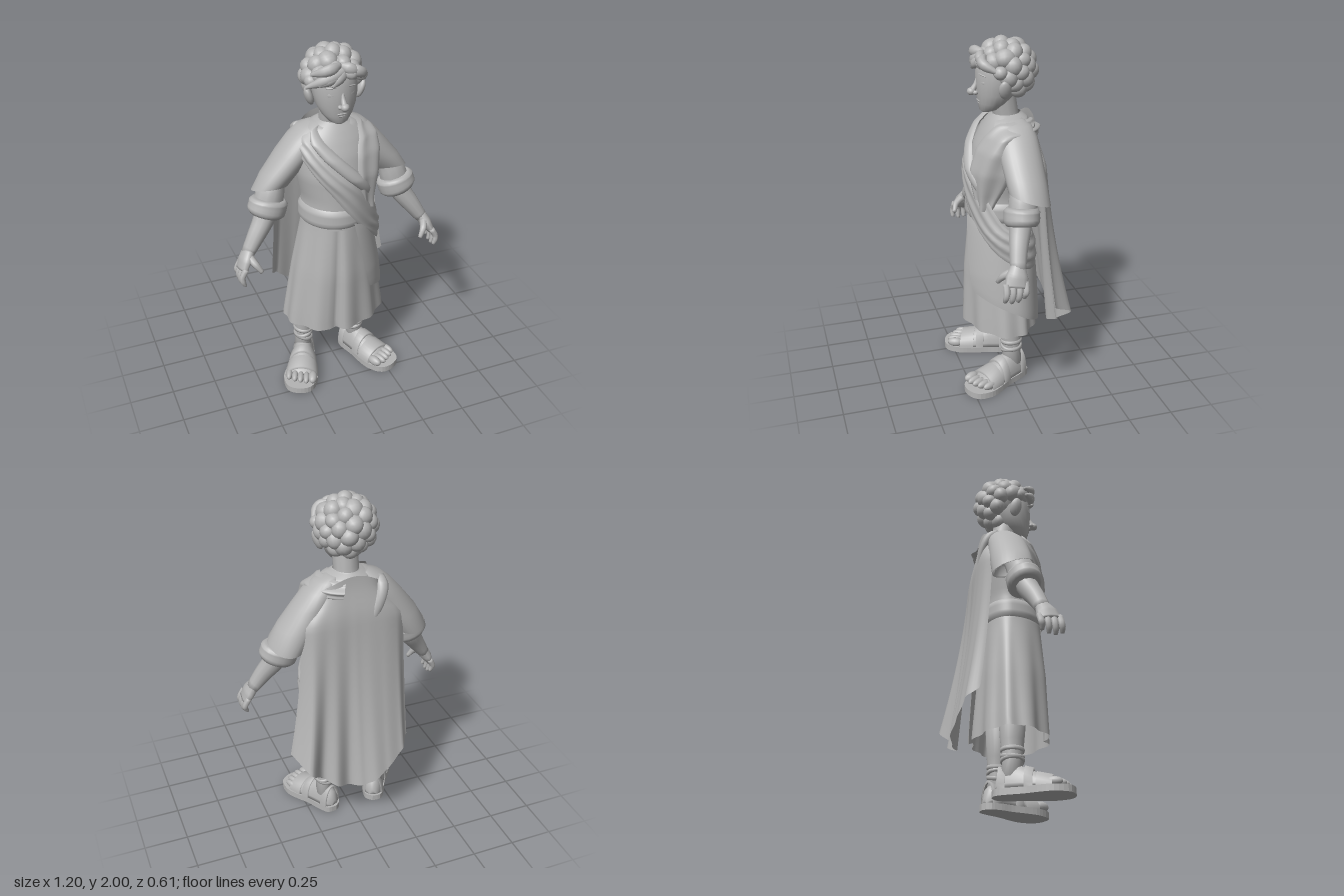
import * as THREE from 'three';

const V = (x, y, z) => new THREE.Vector3(x, y, z);
const lerp = THREE.MathUtils.lerp, rad = THREE.MathUtils.degToRad, smooth = THREE.MathUtils.smoothstep;
const clay = new THREE.MeshStandardMaterial({ color: 0xb4b4b4, side: THREE.DoubleSide });
clay.name = 'clay grey';

function add(parent, name, geometry) {
  const mesh = new THREE.Mesh(geometry, clay);
  mesh.name = name;
  parent.add(mesh);
  return mesh;
}

// Skin a list of equal-length point rows; closed rows form a tube
function loft(rows, closed = true, caps = false) {
  const n = rows[0].length, pts = rows.flat(), idx = [];
  const id = (i, j) => i * n + (j % n);
  for (let i = 0; i < rows.length - 1; i++)
    for (let j = 0; j < (closed ? n : n - 1); j++) {
      const a = id(i, j), b = id(i, j + 1), c = id(i + 1, j), d = id(i + 1, j + 1);
      idx.push(a, b, c, b, d, c);
    }
  if (caps) [0, rows.length - 1].forEach((r) => {
    const k = pts.length, mid = V(0, 0, 0);
    rows[r].forEach((p) => mid.addScaledVector(p, 1 / n));
    pts.push(mid);
    for (let j = 0; j < n; j++)
      r === 0 ? idx.push(id(r, j + 1), id(r, j), k) : idx.push(id(r, j), id(r, j + 1), k);
  });
  const g = new THREE.BufferGeometry().setFromPoints(pts);
  g.setIndex(idx);
  g.computeVertexNormals();
  return g;
}

// Horizontal ellipses: [y, centre x, centre z, radius x, radius z, rise towards the front]
const stack = (list, n = 24) => loft(list.map(([y, cx, cz, rx, rz, rise = 0]) =>
  Array.from({ length: n }, (_, j) => {
    const t = j / n * Math.PI * 2;
    return V(cx + rx * Math.sin(t), y + rise * Math.cos(t), cz + rz * Math.cos(t));
  })), true, true);

// Elliptical tube along a curve; radii are [across, along ref] pairs spread over its length
function sweep(points, radii, ref = V(0, 0, 1), n = 12, steps = 10) {
  const curve = new THREE.CatmullRomCurve3(points.map((p) => V(...p)));
  const rows = [];
  for (let i = 0; i <= steps; i++) {
    const t = i / steps, f = t * (radii.length - 1), k = Math.min(Math.floor(f), radii.length - 2);
    const [a, b] = [0, 1].map((q) => lerp(radii[k][q], radii[k + 1][q], f - k));
    const p = curve.getPoint(t), tan = curve.getTangent(t);
    const side = tan.clone().cross(ref).normalize(), up = tan.clone().cross(side);
    rows.push(Array.from({ length: n }, (_, j) => {
      const w = j / n * Math.PI * 2;
      return p.clone().addScaledVector(side, a * Math.cos(w)).addScaledVector(up, b * Math.sin(w));
    }));
  }
  return loft(rows, true, true);
}

function blob(parent, name, p, s, rot = [0, 0, 0]) {
  const m = add(parent, name, new THREE.SphereGeometry(1, 14, 10));
  m.position.set(...p);
  m.scale.set(...s);
  m.rotation.set(...rot);
}

// Clothed body outline: y, half width, front depth, back depth
const BODY = [
  [0.36, 0.295, 0.235, 0.17], [0.7, 0.245, 0.23, 0.15], [1.02, 0.185, 0.205, 0.12],
  [1.15, 0.18, 0.2, 0.12], [1.3, 0.21, 0.195, 0.14], [1.42, 0.215, 0.16, 0.15],
  [1.5, 0.19, 0.12, 0.15], [1.56, 0.12, 0.08, 0.12], [1.585, 0.07, 0.055, 0.09]];

// Point on the body at an angle (0 front, 90 the left side) and height, pushed out by off
function wrap(deg, y, off = 0) {
  let k = 0;
  while (k < BODY.length - 2 && y > BODY[k + 1][0]) k++;
  const f = THREE.MathUtils.clamp((y - BODY[k][0]) / (BODY[k + 1][0] - BODY[k][0]), 0, 1);
  const [, rx, zf, zb] = BODY[k].map((v, q) => lerp(v, BODY[k + 1][q], f));
  const s = Math.sin(rad(deg)), c = Math.cos(rad(deg));
  return V((rx + off) * s, y, ((c > 0 ? zf : zb) + off) * c);
}

const bodyTube = (y0, y1, steps, off) => loft(Array.from({ length: steps + 1 }, (_, i) => {
  const y = lerp(y0, y1, i / steps);
  return Array.from({ length: 90 }, (_, j) => wrap(j * 4, y, off(j * 4, i / steps)));
}));

// Cloth between two edge lines of [angle, y], with soft folds along it and a flare over the left hip
function drape(upper, lower, base, bulge, folds = 0, amp = 0, flare = 0) {
  const line = (pts) => new THREE.CatmullRomCurve3(pts.map(([a, y]) => V(a / 100, y, 0)));
  const A = line(upper), B = line(lower), rows = [];
  for (let i = 0; i <= 30; i++) {
    const p = A.getPoint(i / 30), q = B.getPoint(i / 30);
    rows.push(Array.from({ length: 19 }, (_, j) => {
      const v = j / 18, m = p.clone().lerp(q, v), deg = m.x * 100;
      const off = base + bulge * Math.sqrt(Math.abs(Math.sin(Math.PI * v))) + amp * Math.cos(folds * v * Math.PI * 2)
        + flare * (1 - 0.5 * v) * smooth(deg, 25, 80) * (1 - smooth(deg, 110, 160));
      return wrap(deg, m.y, off);
    }));
  }
  return loft(rows, false);
}

function buildHead() {
  const head = new THREE.Group();
  head.name = 'head';
  add(head, 'skull', stack([[1.598, 0, 0.095, 0.022, 0.022], [1.612, 0, 0.082, 0.052, 0.05],
    [1.65, 0, 0.06, 0.084, 0.08], [1.7, 0, 0.04, 0.108, 0.108], [1.76, 0, 0.03, 0.12, 0.122],
    [1.82, 0, 0.02, 0.124, 0.13], [1.88, 0, 0.01, 0.115, 0.13], [1.94, 0, 0, 0.08, 0.09], [1.96, 0, 0, 0.02, 0.02]]));
  add(head, 'neck', sweep([[0, 1.48, -0.03], [0, 1.57, -0.015], [0, 1.7, 0.01]], [[0.085, 0.075], [0.07, 0.07], [0.07, 0.075]]));
  add(head, 'nose', sweep([[0, 1.785, 0.14], [0, 1.75, 0.152], [0, 1.715, 0.172]], [[0.008, 0.01], [0.012, 0.013], [0.018, 0.018]]));
  blob(head, 'noseTip', [0, 1.714, 0.176], [0.023, 0.021, 0.024]);
  blob(head, 'lowerLip', [0, 1.65, 0.132], [0.025, 0.006, 0.01]);
  blob(head, 'upperLip', [0, 1.664, 0.136], [0.03, 0.006, 0.01]);
  for (const s of [-1, 1]) {
    blob(head, 'nostril', [s * 0.019, 1.71, 0.157], [0.012, 0.012, 0.015]);
    blob(head, 'eyelid', [s * 0.05, 1.77, 0.125], [0.032, 0.022, 0.014], [0, s * 0.4, 0]);
    blob(head, 'eyebrow', [s * 0.052, 1.812, 0.13], [0.034, 0.006, 0.01], [0, s * 0.4, -s * 0.15]);
    blob(head, 'ear', [s * 0.143, 1.745, 0.032], [0.022, 0.055, 0.034], [0.15, 0, -s * 0.35]);
    blob(head, 'sideCurl', [s * 0.138, 1.835, 0.055], [0.036, 0.036, 0.038]);
  }
  // Curly hair: balls spread evenly over the scalp, leaving the face and ears free
  blob(head, 'scalp', [-0.002, 1.83, -0.025], [0.135, 0.13, 0.125]);
  const count = 56;
  for (let i = 0; i < count; i++) {
    const h = 1 - 2 * (i + 0.5) / count, r = Math.sqrt(1 - h * h), t = i * 2.39996;
    const x = r * Math.sin(t), z = r * Math.cos(t);
    const p = [-0.002 + 0.131 * x, 1.825 + 0.126 * h, -0.012 + 0.122 * z];
    if (p[1] < 1.685 || (p[2] > 0.03 && p[1] < 1.86) || (p[2] > -0.03 && p[1] < 1.79)) continue;
    const size = 0.048 + 0.005 * Math.sin(i * 5.3);
    blob(head, 'curl', p, [size, size * 1.1, size], [i, i * 2, 0]);
  }
  // Fringe locks swept to both sides
  [[0.05, 1.9, -0.18, 1.815, 0.085], [0.02, 1.88, -0.125, 1.83, 0.13], [0, 1.92, -0.15, 1.88, 0.085],
    [0.03, 1.885, -0.06, 1.825, 0.155], [0, 1.92, 0.1, 1.86, 0.115], [0.03, 1.91, 0.155, 1.835, 0.065],
    [0.02, 1.885, 0.075, 1.85, 0.14]].forEach(([x0, y0, x1, y1, z]) =>
    add(head, 'fringeLock', sweep([[x0, y0, 0.11], [(x0 + x1) / 2, (y0 + y1) / 2 + 0.01, 0.14], [x1, y1, z]],
      [[0.014, 0.014], [0.032, 0.028], [0.029, 0.026], [0.008, 0.008]])));
  return head;
}

function buildArm() {
  const arm = new THREE.Group();
  add(arm, 'shoulderSleeve', stack([[1.285, 0.295, -0.035, 0.07, 0.085], [1.22, 0.35, -0.037, 0.088, 0.1, 0.036],
    [1.215, 0.352, -0.039, 0.1, 0.113, 0.041], [1.31, 0.288, -0.036, 0.11, 0.113, 0.02], [1.42, 0.21, -0.03, 0.103, 0.113],
    [1.5, 0.158, -0.03, 0.087, 0.105], [1.55, 0.12, -0.035, 0.066, 0.08], [1.57, 0.09, -0.04, 0.03, 0.04]], 28));
  add(arm, 'innerSleeve', sweep([[0.325, 1.29, -0.02], [0.36, 1.21, 0], [0.385, 1.12, 0.01]], [[0.06, 0.07], [0.078, 0.076], [0.085, 0.078]]));
  add(arm, 'cuff', sweep([[0.37, 1.178, 0.008], [0.382, 1.135, 0.013], [0.4, 1.085, 0.018]],
    [[0.088, 0.08], [0.108, 0.094], [0.108, 0.094], [0.108, 0.095], [0.108, 0.094], [0.09, 0.08]], V(0, 0, 1), 20));
  add(arm, 'forearm', sweep([[0.37, 1.16, 0.01], [0.41, 1.07, 0.03], [0.465, 0.99, 0.055], [0.525, 0.9, 0.075]],
    [[0.062, 0.062], [0.06, 0.06], [0.05, 0.05], [0.036, 0.042]]));
  add(arm, 'palm', sweep([[0.515, 0.92, 0.072], [0.545, 0.87, 0.088], [0.572, 0.82, 0.1]], [[0.034, 0.04], [0.034, 0.06], [0.021, 0.062]]));
  for (let i = 0; i < 4; i++) {
    const z = 0.045 + i * 0.035, d = [0.02, 0.003, 0, 0.01][i];
    add(arm, 'finger', sweep([[0.56, 0.845, z], [0.584, 0.8, z + 0.004], [0.582, 0.765 + d, z + 0.008], [0.57, 0.738 + d, z + 0.01]],
      [[0.017, 0.018], [0.017, 0.018], [0.016, 0.017], [0.009, 0.01]], V(0, 0, 1), 8));
  }
  add(arm, 'thumb', sweep([[0.53, 0.9, 0.095], [0.505, 0.865, 0.15], [0.475, 0.82, 0.172]], [[0.024, 0.024], [0.02, 0.02], [0.012, 0.012]], V(0, 1, 0), 8));
  return arm;
}

function buildLeg() {
  const leg = new THREE.Group(), foot = new THREE.Group();
  add(leg, 'shin', stack([[0.1, 0.165, -0.01, 0.05, 0.06], [0.2, 0.165, -0.005, 0.046, 0.052],
    [0.3, 0.16, -0.005, 0.057, 0.064], [0.5, 0.15, 0, 0.075, 0.08]], 18));
  for (const [y, tilt] of [[0.19, 0.3], [0.215, -0.25], [0.245, 0.08]]) {
    const band = add(leg, 'ankleStrap', new THREE.TorusGeometry(0.051, 0.008, 6, 24));
    band.position.set(0.164, y, -0.005);
    band.rotation.set(Math.PI / 2, tilt, 0);
    band.scale.set(1, 1.1, 1.6);
  }
  foot.name = 'foot';
  foot.position.set(0.165, 0, 0);
  foot.rotation.y = 0.41;
  leg.add(foot);
  // Sole outline, extruded upward
  const outline = [[0, -0.112], [0.05, -0.09], [0.068, -0.02], [0.076, 0.06], [0.098, 0.15], [0.104, 0.22], [0.072, 0.295],
    [0, 0.316], [-0.066, 0.29], [-0.094, 0.21], [-0.088, 0.13], [-0.07, 0.04], [-0.064, -0.03], [-0.045, -0.09]];
  const shape = new THREE.Shape(new THREE.SplineCurve(outline.concat([outline[0]]).map(([x, z]) => new THREE.Vector2(x, -z))).getPoints(48));
  add(foot, 'sole', new THREE.ExtrudeGeometry(shape, { depth: 0.036, bevelEnabled: false }).rotateX(-Math.PI / 2));
  // Foot and straps share one profile: z, half width, height
  const arch = (z, w, h) => Array.from({ length: 17 }, (_, j) => V(w * Math.cos(j / 16 * Math.PI), 0.034 + h * Math.sin(j / 16 * Math.PI), z));
  add(foot, 'footBody', loft([[-0.095, 0.02, 0.03], [-0.08, 0.045, 0.09], [-0.03, 0.06, 0.135], [0.03, 0.067, 0.132],
    [0.08, 0.074, 0.11], [0.14, 0.084, 0.082], [0.2, 0.088, 0.052], [0.23, 0.076, 0.025]].map((r) => arch(...r)), true, true));
  for (const [z, w, h, wide] of [[0.165, 0.092, 0.082, 0.04], [0.085, 0.081, 0.116, 0.022], [-0.055, 0.061, 0.12, 0.02]])
    add(foot, 'sandalStrap', loft([arch(z - wide, w - 0.012, h), arch(z - wide, w, h + 0.012),
      arch(z + wide, w + 0.005, h - wide * 0.4 + 0.008), arch(z + wide, w - 0.01, h - wide * 0.4 - 0.008)], false));
  for (let i = 0; i < 5; i++)
    blob(foot, 'toe', [-0.064 + i * 0.034 - (i ? 0 : 0.003), 0.058, [0.238, 0.244, 0.238, 0.228, 0.212][i]],
      [i ? 0.019 : 0.026, i ? 0.023 : 0.028, 0.047]);
  return leg;
}

// Cloak hem: position across, depth behind the body
const HEM = [[-1, 0.2], [-0.82, 0.27], [-0.5, 0.295], [-0.25, 0.31], [0, 0.285], [0.18, 0.245], [0.4, 0.285], [0.58, 0.245], [0.8, 0.305], [1, 0.18]];
function hemDepth(u) {
  const k = Math.max(0, HEM.findIndex(([x]) => x >= u) - 1);
  return lerp(HEM[k][1], HEM[k + 1][1], smooth(u, HEM[k][0], HEM[k + 1][0]));
}

// Long cloak down the back, with deep folds and an uneven hem
function buildCloak() {
  const rows = [];
  for (let i = 0; i <= 28; i++) {
    const v = i / 28, open = smooth(v, 0, 0.2);
    rows.push(Array.from({ length: 61 }, (_, j) => {
      const u = -1 + j / 30, e = Math.abs(u);
      const half = u < 0 ? 0.18 + 0.1 * open + 0.025 * v : 0.2 + 0.095 * open + 0.105 * v * v;
      const top = 1.59 - 0.09 * u * u;
      const hem = u < 0.1 ? 0.3 + 0.24 * ((0.1 - u) / 1.1) ** 1.5 : 0.3 + 0.27 * ((u - 0.1) / 0.9) ** 1.6;
      const upper = -0.145 - 0.032 * open + e ** 5 * lerp(0.09, 0.045, open);
      return V(u * half, lerp(top, hem, v), lerp(upper, -hemDepth(u), v ** 1.7));
    }));
  }
  return loft(rows, false);
}

export function createModel() {
  const model = new THREE.Group();
  model.name = 'robedFigure';
  model.add(buildHead());

  // Tunic, with soft pleats and one deep fold at the front
  const pleat = (a, k) => (1 - k) * (0.01 * Math.cos(rad(a * 10)) + 0.006 * Math.cos(rad(a * 4 + 40))) - 0.004
    - 0.03 * (1 - k * 0.7) * Math.exp(-(((a - 348) / 5) ** 2));
  add(model, 'skirt', bodyTube(0.35, 1.04, 14, pleat));
  add(model, 'tunicTop', bodyTube(1.0, 1.585, 22, () => 0));
  add(model, 'belt', bodyTube(1.01, 1.12, 6, (a, k) => (k === 0 || k === 1 ? 0 : 0.014)));

  // Draped cloth
  add(model, 'collar', drape([[40, 1.565], [110, 1.585], [180, 1.588], [250, 1.585], [320, 1.565]],
    [[40, 1.5], [110, 1.53], [180, 1.54], [250, 1.53], [320, 1.5]], 0.004, 0.007));
  add(model, 'chestSash', drape([[-130, 1.57], [-75, 1.575], [-40, 1.52], [3, 1.34], [50, 1.17], [82, 0.99], [115, 0.955], [160, 0.955]],
    [[-130, 1.45], [-95, 1.45], [-70, 1.43], [-38, 1.3], [3, 1.1], [42, 0.94], [85, 0.79], [150, 0.71]], 0.008, 0.024, 3, 0.004, 0.045));
  add(model, 'shoulderDrape', drape([[160, 1.56], [90, 1.565], [42, 1.54], [20, 1.44], [18, 1.3], [36, 1.11]],
    [[160, 1.48], [115, 1.48], [95, 1.46], [88, 1.36], [78, 1.24], [58, 1.08]], 0.016, 0.034, 2, 0.008));
  add(model, 'neckFold', drape([[-60, 1.575], [-25, 1.5], [10, 1.37], [38, 1.26]],
    [[-60, 1.54], [-38, 1.46], [0, 1.31], [36, 1.18]], 0.014, 0.03));
  add(model, 'hipDrape', drape([[12, 1.04], [50, 0.98], [110, 0.9], [175, 0.95]],
    [[30, 0.6], [60, 0.55], [110, 0.45], [175, 0.33]], 0.02, 0.006));
  add(model, 'cloak', buildCloak());
  add(model, 'cloakFold', sweep([[-0.16, 1.535, -0.08], [-0.16, 1.5, -0.13], [-0.13, 1.42, -0.165], [-0.06, 1.27, -0.176]],
    [[0.025, 0.03], [0.03, 0.035], [0.018, 0.03], [0.004, 0.012]], V(1, 0, 0)));

  // Mirrored limbs
  for (const [s, side] of [[1, 'left'], [-1, 'right']]) {
    const arm = buildArm(), leg = buildLeg();
    arm.name = side + 'Arm';
    leg.name = side + 'Leg';
    arm.scale.x = leg.scale.x = s;
    leg.position.x = -0.022;
    model.add(arm, leg);
  }
  return model;
}
